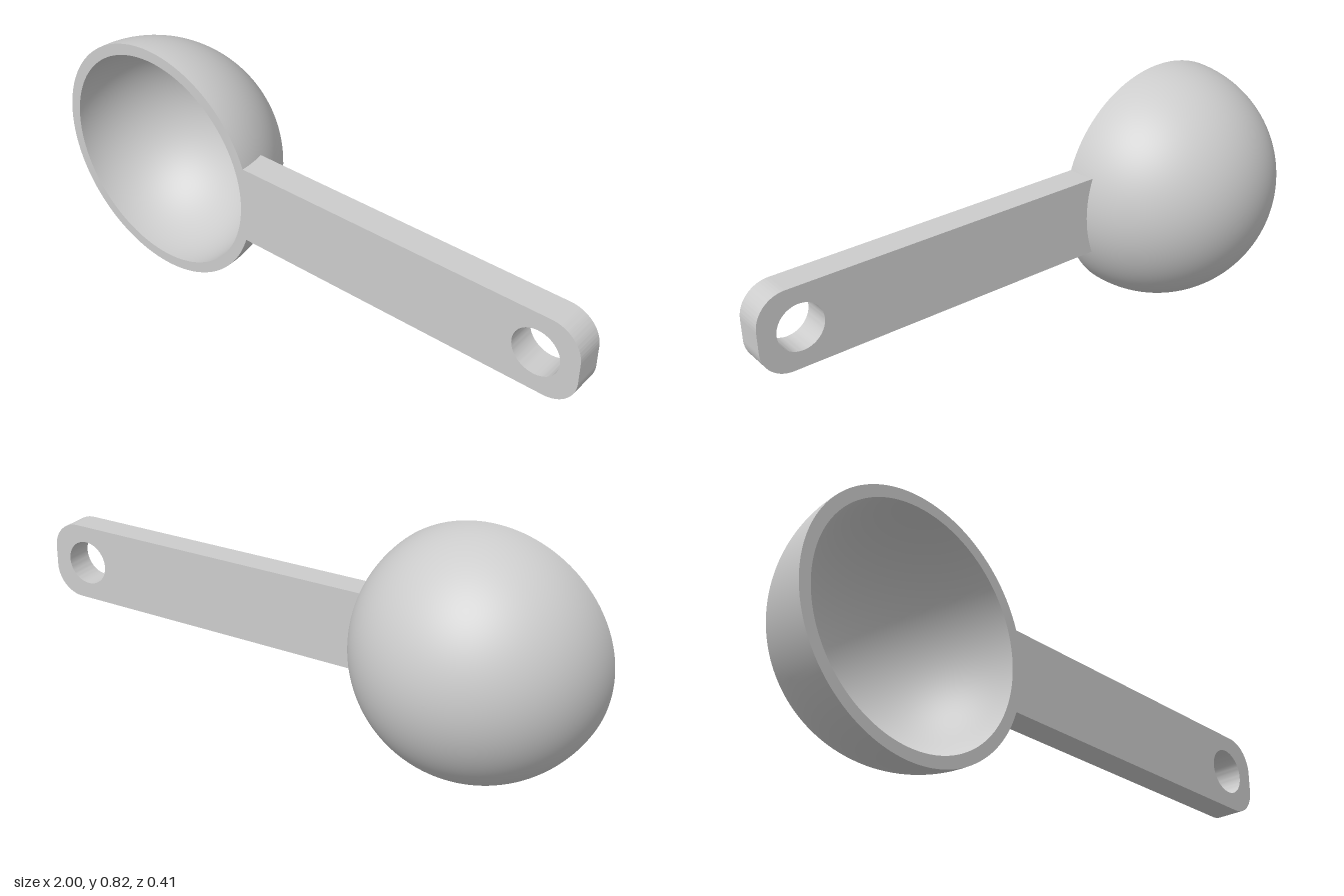
import * as THREE from 'three';
import { toCreasedNormals } from 'three/addons/utils/BufferGeometryUtils.js';

const OUTER = 0.411, INNER = 0.373;      // bowl radii
const CX = -0.589, CY = 0.411, RIM_Z = 0.205;

// Quarter-circle profile from the pole up to the rim
function arcProfile(radius, steps = 48) {
  return Array.from({ length: steps + 1 }, (_, i) => {
    const a = (i / steps) * Math.PI / 2;
    return new THREE.Vector2(radius * Math.sin(a), -radius * Math.cos(a));
  });
}

export function createModel() {
  const group = new THREE.Group();
  group.name = 'measuringScoop';
  const grey = new THREE.MeshStandardMaterial({ color: 0xcccccc });
  grey.name = 'lightGrey';

  const add = (parent, name, geometry) => {
    const mesh = new THREE.Mesh(geometry, grey);
    mesh.name = name;
    parent.add(mesh);
  };

  // Hollow half-sphere bowl opening towards the front
  const bowl = new THREE.Group();
  bowl.name = 'bowl';
  bowl.position.set(CX, CY, RIM_Z);
  add(bowl, 'bowlOutside', new THREE.LatheGeometry(arcProfile(OUTER), 128).rotateX(Math.PI / 2));
  add(bowl, 'bowlInside', new THREE.LatheGeometry(arcProfile(INNER).reverse(), 128).rotateX(Math.PI / 2));
  add(bowl, 'bowlRim', new THREE.RingGeometry(INNER, OUTER, 128));
  group.add(bowl);

  // Flat handle: its root follows the bowl wall, its tip has rounded corners
  const half = 0.134, right = 1, corner = 0.1, rootRadius = 0.398;
  const rootAngle = Math.asin(half / rootRadius);
  const outline = new THREE.Shape();
  outline.moveTo(CX + rootRadius * Math.cos(rootAngle), -half);
  outline.lineTo(right - corner, -half);
  outline.absarc(right - corner, -half + corner, corner, -Math.PI / 2, 0, false);
  outline.lineTo(right, half - corner);
  outline.absarc(right - corner, half - corner, corner, 0, Math.PI / 2, false);
  outline.lineTo(CX + rootRadius * Math.cos(rootAngle), half);
  outline.absarc(CX, 0, rootRadius, rootAngle, -rootAngle, true);

  // Hanging hole
  const hole = new THREE.Path();
  hole.absarc(0.864, 0, 0.077, 0, Math.PI * 2, true);
  outline.holes.push(hole);

  const depth = 0.095;
  const handle = new THREE.ExtrudeGeometry(outline, { depth, bevelEnabled: false, curveSegments: 32 });
  handle.translate(0, 0.412, RIM_Z - depth);
  add(group, 'handle', toCreasedNormals(handle, Math.PI / 6));

  return group;
}
